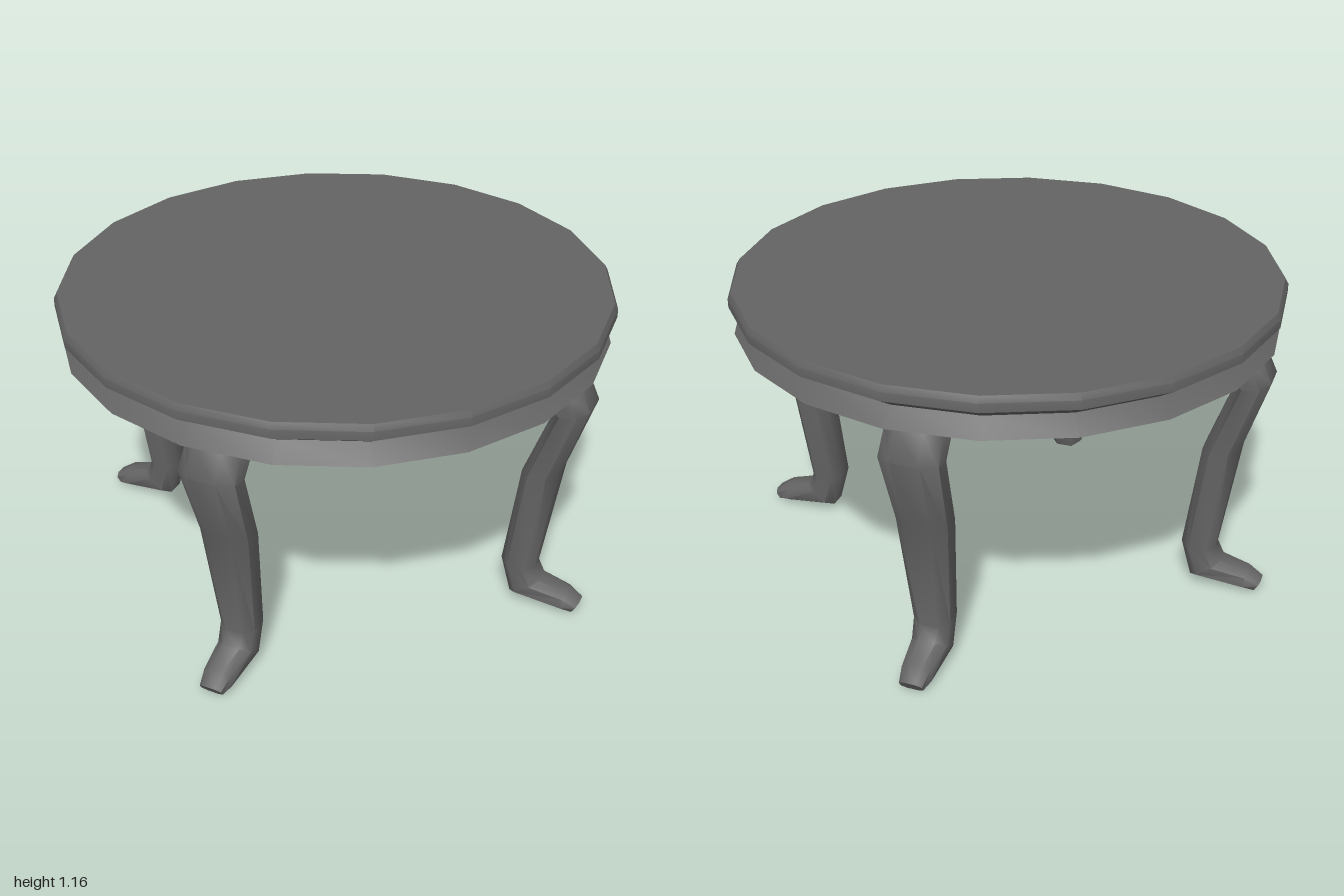
import * as THREE from 'three';
import { toCreasedNormals } from 'three/addons/utils/BufferGeometryUtils.js';

const material = new THREE.MeshStandardMaterial({ color: 0x646464, side: THREE.DoubleSide });

// Octagonal ring in units of half depth (toward the outside) and half width
const RING = [[1, -0.5], [1, 0.5], [0.5, 1], [-0.5, 1], [-1, 0.5], [-1, -0.5], [-0.5, -1], [0.5, -1]];

// Leg sections from top to toe: outer [r, y], inner [r, y], half width outside and inside
const SECTIONS = [
  [[0.86, 1.09], [0.685, 0.97], [0.03, 0.11]],
  [[0.94, 0.985], [0.79, 0.915], [0.1, 0.1]],
  [[0.985, 0.885], [0.86, 0.865], [0.105, 0.105]],
  [[0.895, 0.6], [0.76, 0.585], [0.092, 0.092]],
  [[0.83, 0.155], [0.705, 0.17], [0.068, 0.068]],
  [[0.855, 0.105], [0.745, 0.027], [0.066, 0.066]],
  [[0.955, 0.08], [0.95, 0.004], [0.05, 0.058]],
  [[1.012, 0.042], [0.985, 0.0], [0.042, 0.042]],
];

function legGeometry() {
  const n = RING.length;
  const { lerp } = THREE.MathUtils;
  const positions = [];
  const index = [];
  for (const [outer, inner, width] of SECTIONS) {
    for (const [d, w] of RING) {
      const t = (1 + d) / 2;
      positions.push(lerp(inner[0], outer[0], t), lerp(inner[1], outer[1], t), w * lerp(width[1], width[0], t));
    }
  }
  // Walls between neighbouring sections
  for (let s = 0; s < SECTIONS.length - 1; s++) {
    for (let k = 0; k < n; k++) {
      const a = s * n + k;
      const b = s * n + ((k + 1) % n);
      index.push(a, b, a + n, b, b + n, a + n);
    }
  }
  // End caps
  const last = (SECTIONS.length - 1) * n;
  for (let k = 1; k < n - 1; k++) {
    index.push(0, k + 1, k);
    index.push(last, last + k, last + k + 1);
  }
  const geometry = new THREE.BufferGeometry();
  geometry.setAttribute('position', new THREE.Float32BufferAttribute(positions, 3));
  geometry.setIndex(index);
  return toCreasedNormals(geometry, 0.9);
}

export function createModel() {
  const table = new THREE.Group();
  table.name = 'roundTable';

  // Twenty-sided top with a notched rim, open underneath
  const profile = [
    [0.988, 1.005], [0.93, 1.062], [1.0, 1.108], [1.0, 1.14], [0.988, 1.161], [0, 1.161],
  ].map(([r, y]) => new THREE.Vector2(r, y));
  const topGeometry = new THREE.LatheGeometry(profile, 20, THREE.MathUtils.degToRad(5.2));
  const top = new THREE.Mesh(toCreasedNormals(topGeometry, 0.55), material);
  top.name = 'tableTop';
  table.add(top);

  // Four curved legs on the diagonals
  const geometry = legGeometry();
  const names = ['backLeftLeg', 'backRightLeg', 'frontRightLeg', 'frontLeftLeg'];
  names.forEach((name, i) => {
    const leg = new THREE.Mesh(geometry, material);
    leg.name = name;
    leg.rotation.y = Math.PI / 4 + (i * Math.PI) / 2;
    table.add(leg);
  });
  return table;
}
